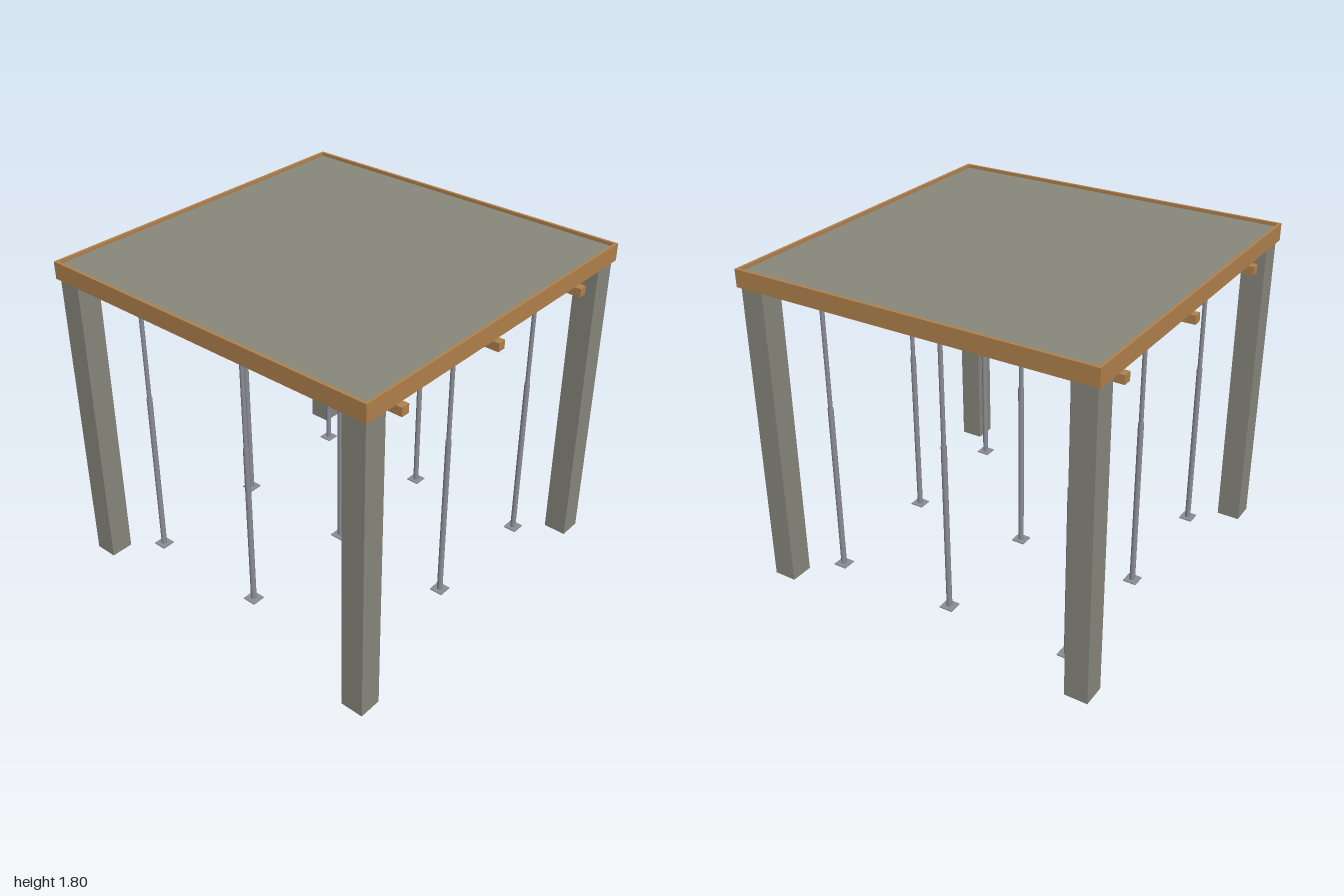
import * as THREE from 'three';

export function createModel() {
  const model = new THREE.Group();
  const make = (name, color) => {
    const m = new THREE.MeshStandardMaterial({ color });
    m.name = name;
    return m;
  };
  const concrete = make('concrete', 0x87877c);
  const wood = make('wood', 0xb0814c);
  const steel = make('steel', 0x8b8d95);
  const block = make('fillerBlock', 0xb8b8b6);

  // Box given by its centre in x and z, and its bottom and top in y
  function box(parent, name, mat, w, d, y0, y1, x = 0, z = 0) {
    const mesh = new THREE.Mesh(new THREE.BoxGeometry(w, y1 - y0, d), mat);
    mesh.position.set(x, (y0 + y1) / 2, z);
    mesh.name = name;
    parent.add(mesh);
  }
  function tube(parent, name, r, y0, y1) {
    const mesh = new THREE.Mesh(new THREE.CylinderGeometry(r, r, y1 - y0, 16), steel);
    mesh.position.y = (y0 + y1) / 2;
    mesh.name = name;
    parent.add(mesh);
  }

  const inner = 0.984, beamIn = 0.855;
  const colW = inner - beamIn, colC = (inner + beamIn) / 2;

  // Corner columns
  for (const x of [-1, 1]) for (const z of [-1, 1])
    box(model, 'column', concrete, colW, colW, 0, 1.71, x * colC, z * colC);

  // Timber edge formwork around the slab
  const edge = 1 - inner;
  for (const s of [-1, 1]) {
    box(model, 'edgeBoard', wood, 2, edge, 1.71, 1.805, 0, s * (1 - edge / 2));
    box(model, 'edgeBoard', wood, edge, 2 * inner, 1.71, 1.805, s * (1 - edge / 2), 0);
  }

  // Slab topping and perimeter beams
  const slab = new THREE.Group();
  slab.name = 'slab';
  model.add(slab);
  box(slab, 'topping', concrete, 2 * inner, 2 * inner, 1.75, 1.787);
  for (const s of [-1, 1]) {
    box(slab, 'perimeterBeam', concrete, 2 * inner, colW, 1.71, 1.75, 0, s * colC);
    box(slab, 'perimeterBeam', concrete, colW, 2 * beamIn, 1.71, 1.75, s * colC, 0);
  }

  // Joists along z with filler blocks between them
  const joists = 6, joistW = 0.08;
  const blockW = (2 * beamIn - joists * joistW) / (joists + 1);
  for (let i = 0; i <= joists; i++) {
    const x = -beamIn + i * (blockW + joistW);
    box(slab, 'fillerBlock', block, blockW, 2 * beamIn, 1.718, 1.75, x + blockW / 2);
    if (i < joists)
      box(slab, 'joist', concrete, joistW, 2 * beamIn, 1.712, 1.75, x + blockW + joistW / 2);
  }

  // Timber bearers, each on three telescopic props
  for (const z of [-0.72, 0, 0.72]) {
    box(model, 'bearer', wood, 1.968, 0.048, 1.61, 1.657, 0, z);
    for (const x of [-0.72, 0, 0.72]) {
      const prop = new THREE.Group();
      prop.name = 'prop';
      prop.position.set(x, 0, z);
      box(prop, 'basePlate', steel, 0.076, 0.076, 0, 0.006);
      tube(prop, 'outerTube', 0.0155, 0.006, 0.99);
      tube(prop, 'innerTube', 0.012, 0.99, 1.604);
      box(prop, 'headPlate', steel, 0.076, 0.076, 1.604, 1.61);
      model.add(prop);
    }
  }
  return model;
}
